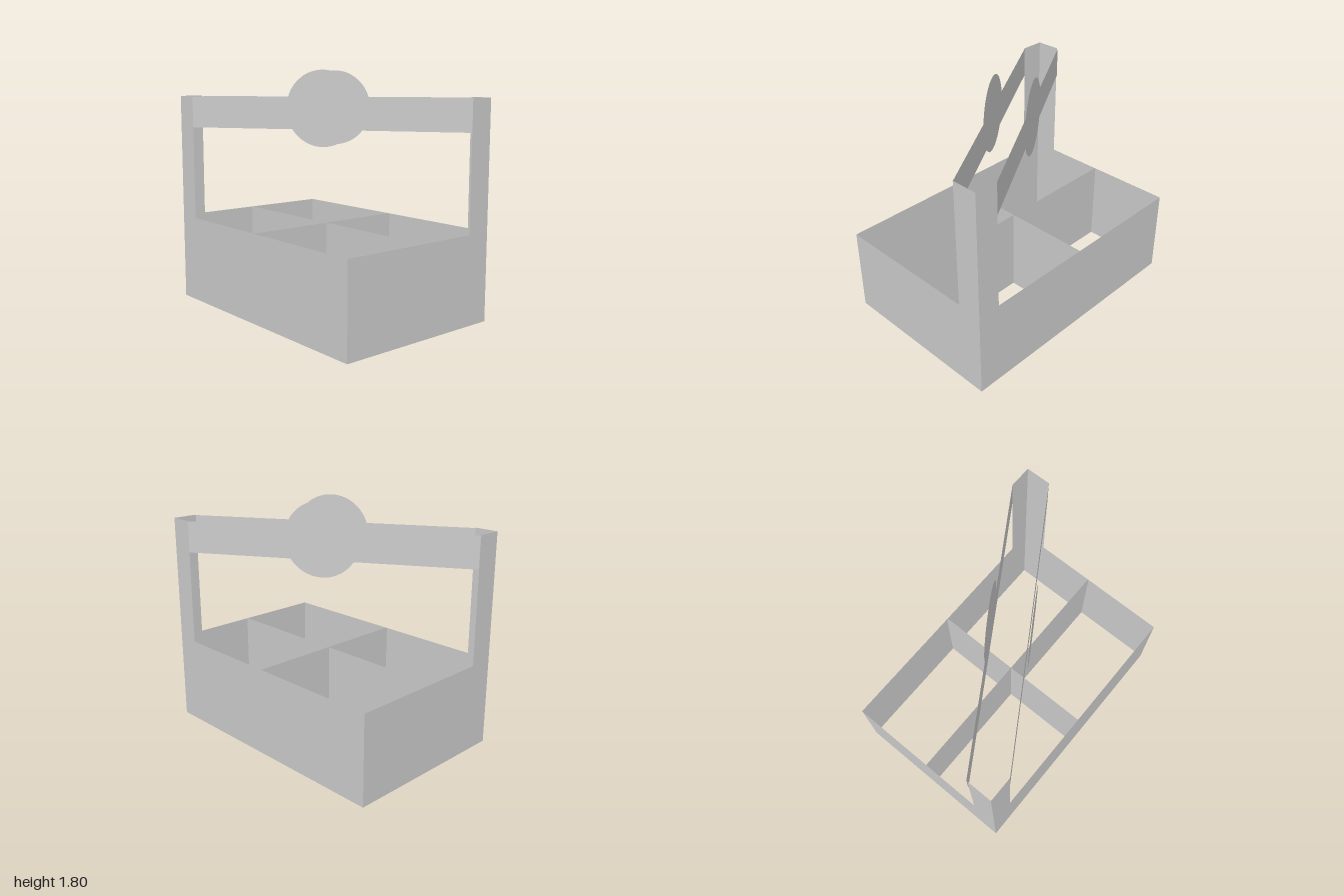
import * as THREE from 'three';

const material = new THREE.MeshStandardMaterial({ color: 0xcccccc, side: THREE.DoubleSide, flatShading: true });

// Thin upright card following [x, z] points in plan, from y0 to y1
function card(name, points, y0, y1) {
  const pos = [];
  for (let i = 0; i < points.length - 1; i++) {
    const [ax, az] = points[i], [bx, bz] = points[i + 1];
    pos.push(ax, y0, az, bx, y0, bz, bx, y1, bz, ax, y0, az, bx, y1, bz, ax, y1, az);
  }
  const geometry = new THREE.BufferGeometry();
  geometry.setAttribute('position', new THREE.Float32BufferAttribute(pos, 3));
  geometry.computeVertexNormals();
  const mesh = new THREE.Mesh(geometry, material);
  mesh.name = name;
  return mesh;
}

export function createModel() {
  const group = new THREE.Group();
  const L = -0.998, R = 0.99, D = 0.66;        // outer walls
  const postX = 0.815, postZ = 0.468;          // inner edges of the corner posts
  const wallTop = 0.66, postTop = 1.608;

  // Open-bottomed tray: walls run between the two opposite corner posts
  group.add(card('frontRightWall', [[-postX, D], [R, D], [R, -postZ]], 0, wallTop));
  group.add(card('backLeftWall', [[postX, -D], [L, -D], [L, postZ]], 0, wallTop));

  // Double-layer dividers making four cells
  for (const x of [-0.008, 0]) group.add(card('crossDivider', [[x, -D], [x, D]], 0, wallTop));
  for (const z of [-0.003, 0.003]) group.add(card('longDivider', [[L, z], [R, z]], 0, wallTop));

  // Folded L-shaped posts at diagonal corners
  group.add(card('frontPost', [[L, postZ], [L, D], [-postX, D]], 0, postTop));
  group.add(card('backPost', [[R, -postZ], [R, -D], [postX, -D]], 0, postTop));

  // Diagonal handle straps, each with a round label just outside it
  const straps = [
    { name: 'front', from: [-postX, D], to: [R, -postZ], disc: [0.088, 0.115] },
    { name: 'back', from: [L, postZ - 0.006], to: [postX, -D], disc: [-0.065, -0.13] },
  ];
  for (const { name, from, to, disc } of straps) {
    group.add(card(name + 'HandleStrap', [from, to], 1.37, 1.605));
    const label = new THREE.Mesh(new THREE.CircleGeometry(0.278, 64), material);
    label.name = name + 'HandleDisc';
    label.position.set(disc[0], 1.524, disc[1]);
    label.rotation.y = Math.atan2(from[1] - to[1], to[0] - from[0]);
    group.add(label);
  }
  return group;
}
